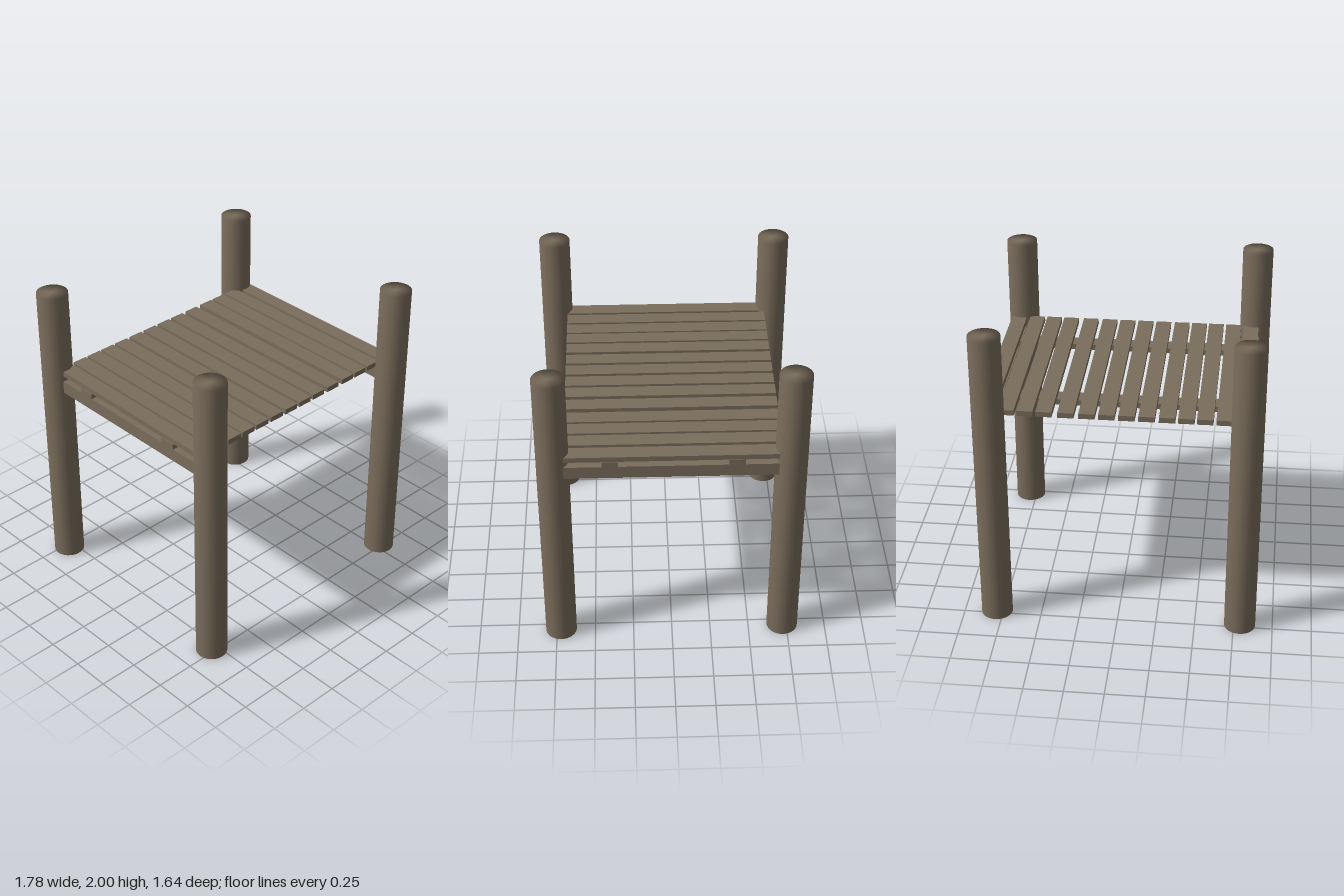
import * as THREE from 'three';

const wood = new THREE.MeshStandardMaterial({ color: 0x7a6d5c });
wood.name = 'weathered wood';

// Box given by its min and max corners
function board(name, [x0, y0, z0], [x1, y1, z1]) {
  const mesh = new THREE.Mesh(new THREE.BoxGeometry(x1 - x0, y1 - y0, z1 - z0), wood);
  mesh.position.set((x0 + x1) / 2, (y0 + y1) / 2, (z0 + z1) / 2);
  mesh.name = name;
  return mesh;
}

export function createModel() {
  const model = new THREE.Group();
  model.name = 'woodenPlatform';

  // Round corner posts, with normals smoothed over the rims
  const profile = [[0, 0], [0.1, 0], [0.1, 2], [0, 2]].map(([r, y]) => new THREE.Vector2(r, y));
  const postGeometry = new THREE.LatheGeometry(profile, 32);
  for (const x of [-0.79, 0.79]) {
    for (const z of [-0.722, 0.722]) {
      const post = new THREE.Mesh(postGeometry, wood);
      post.position.set(x, 0, z);
      post.name = 'cornerPost';
      model.add(post);
    }
  }

  // Side beams running front to back between the posts
  for (const x of [-0.82, 0.765]) {
    model.add(board('sideBeam', [x, 1.318, -0.643], [x + 0.1, 1.402, 0.66]));
  }

  // Cross joists resting on the beams
  for (const z of [-0.39, 0.375]) {
    model.add(board('crossJoist', [-0.822, 1.402, z - 0.05], [0.866, 1.438, z + 0.05]));
  }

  // Deck planks, unevenly spaced; the outermost two are shorter
  const centres = [-0.765, -0.647, -0.53, -0.416, -0.299, -0.174, -0.052,
    0.071, 0.192, 0.321, 0.456, 0.572, 0.689, 0.812];
  centres.forEach((x, i) => {
    const outer = i === 0 || i === centres.length - 1;
    const [back, front] = outer ? [-0.643, 0.66] : [-0.672, 0.654];
    model.add(board('deckPlank', [x - 0.05, 1.438, back], [x + 0.05, 1.472, front]));
  });

  return model;
}
